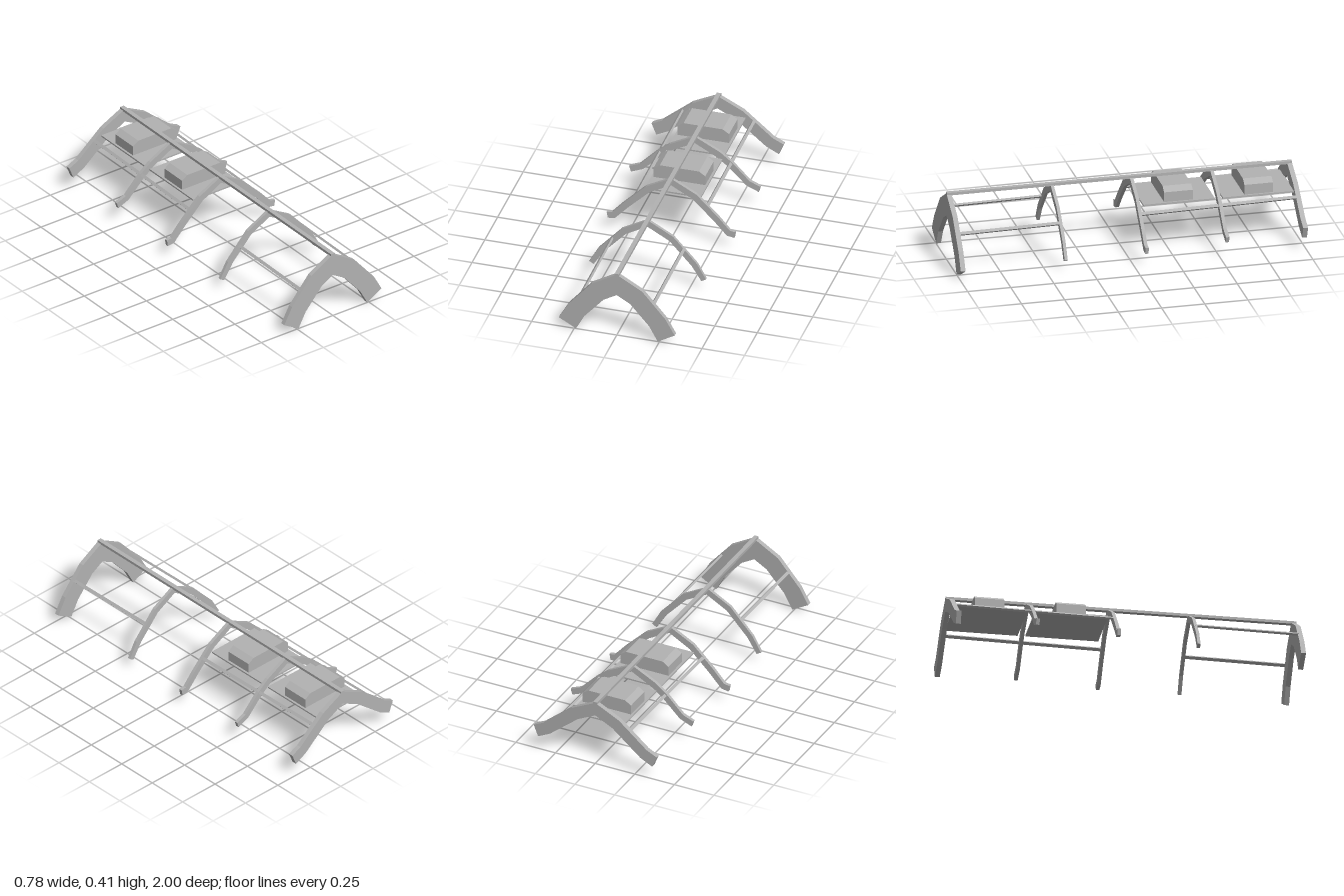
import * as THREE from 'three';

export function createModel() {
  const group = new THREE.Group();
  const grey = new THREE.MeshStandardMaterial({ color: 0xb2b2b2 });

  const add = (name, geometry, x = 0, y = 0, z = 0) => {
    const mesh = new THREE.Mesh(geometry, grey);
    mesh.name = name;
    mesh.position.set(x, y, z);
    group.add(mesh);
    return mesh;
  };

  // Mirrored extrusion: half outline runs from the top centre to the bottom centre
  const symmetric = (half, depth) => {
    const left = half.filter(p => p[0] > 0).reverse().map(([x, y]) => [-x, y]);
    const shape = new THREE.Shape([...half, ...left].map(p => new THREE.Vector2(...p)));
    return new THREE.ExtrudeGeometry(shape, { depth, bevelEnabled: false }).translate(0, 0, -depth / 2);
  };

  // Arched ribs, front to back
  const ribs = [
    ['frontRib', 0.986, 0.028, [[0, 0.4], [0.15, 0.313], [0.285, 0.155], [0.34, 0.057],
      [0.24, 0], [0.19, 0.092], [0.078, 0.22], [0, 0.265]]],
    ['secondRib', 0.39, 0.018, [[0, 0.4], [0.15, 0.317], [0.29, 0.162], [0.343, 0.068],
      [0.316, 0.053], [0.258, 0.145], [0.128, 0.286], [0, 0.357]]],
    ['middleRib', -0.07, 0.02, [[0, 0.4], [0.15, 0.32], [0.28, 0.19], [0.345, 0.117], [0.378, 0.112],
      [0.371, 0.074], [0.328, 0.081], [0.25, 0.166], [0.128, 0.286], [0, 0.357]]],
    ['fourthRib', -0.535, 0.02, [[0, 0.4], [0.15, 0.322], [0.22, 0.266], [0.322, 0.161], [0.386, 0.135],
      [0.375, 0.1], [0.303, 0.13], [0.2, 0.232], [0.128, 0.288], [0, 0.357]]],
    ['backRib', -0.986, 0.028, [[0, 0.4], [0.15, 0.325], [0.325, 0.178], [0.388, 0.148],
      [0.36, 0.079], [0.285, 0.117], [0.11, 0.262], [0, 0.318]]],
  ];
  for (const [name, z, depth, half] of ribs) add(name, symmetric(half, depth), 0, 0, z);

  // Ridge beam
  add('ridgeBeam', new THREE.BoxGeometry(0.026, 0.016, 2), 0, 0.397, 0);

  // Side rails, tilted with the slope of the ribs
  const rail = (name, z0, y0, z1, y1) => {
    const length = Math.hypot(z1 - z0, y1 - y0);
    for (const side of [1, -1]) {
      const mesh = add(side > 0 ? name + 'Left' : name + 'Right',
        new THREE.BoxGeometry(0.018, 0.012, length), side * 0.21, (y0 + y1) / 2, (z0 + z1) / 2);
      mesh.rotation.set(-Math.atan2(y1 - y0, z1 - z0), 0, -side * 0.75);
    }
  };
  rail('frontRail', 0.39, 0.241, 0.985, 0.233);
  rail('backRail', -0.985, 0.266, -0.07, 0.25);

  // Floor plates, each carrying a box with chamfered upper sides
  const boxHalf = [[0, 0.37], [0.115, 0.37], [0.152, 0.345], [0.152, 0.285], [0, 0.285]];
  for (const [plateZ, boxZ, label] of [[-0.308, -0.307, 'front'], [-0.768, -0.772, 'back']]) {
    add(label + 'FloorPlate', new THREE.BoxGeometry(0.33, 0.009, 0.415), 0, 0.282, plateZ);
    add(label + 'EquipmentBox', symmetric(boxHalf, 0.166), 0, 0, boxZ);
  }

  return group;
}
